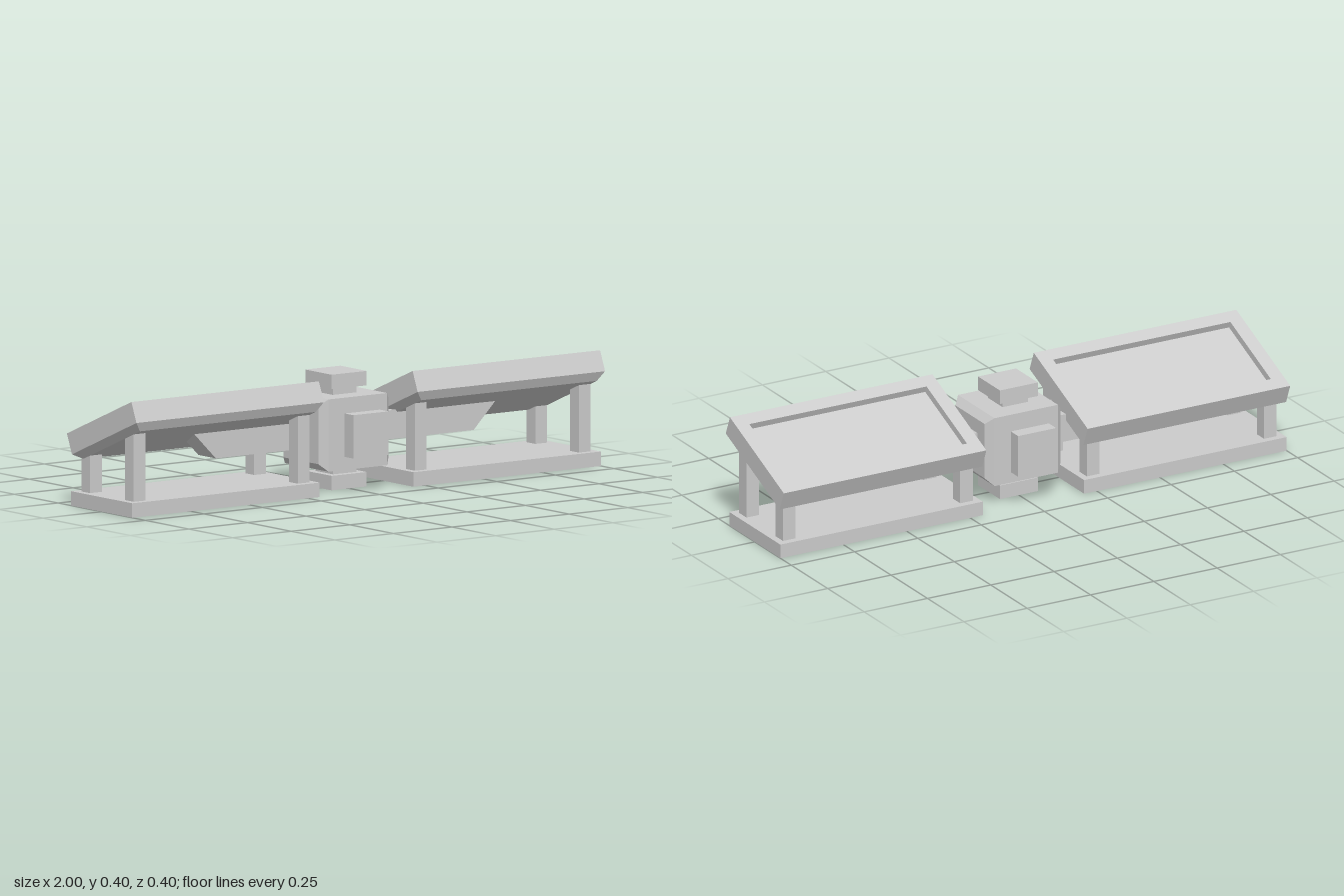
import * as THREE from 'three';

const material = new THREE.MeshStandardMaterial({ color: 0xcccccc, flatShading: true });

function add(parent, name, geometry) {
  const mesh = new THREE.Mesh(geometry, material);
  mesh.name = name;
  parent.add(mesh);
  return mesh;
}

// Box given by its centre x and z, its bottom and top, and its width and depth
function box(parent, name, x, z, y0, y1, w, d) {
  const mesh = add(parent, name, new THREE.BoxGeometry(w, y1 - y0, d));
  mesh.position.set(x, (y0 + y1) / 2, z);
  return mesh;
}

// Solid skinned over rectangles [halfX, halfZ, y], capped at both ends
function rectangleLoft(rings) {
  const corners = rings.map(([x, z, y]) => [[-x, y, z], [x, y, z], [x, y, -z], [-x, y, -z]]);
  const positions = [];
  const quad = (a, b, c, d) => positions.push(...a, ...b, ...c, ...a, ...c, ...d);
  const first = corners[0], last = corners[corners.length - 1];
  quad(first[3], first[2], first[1], first[0]);
  for (let r = 0; r < corners.length - 1; r++) {
    for (let i = 0; i < 4; i++) {
      const j = (i + 1) % 4;
      quad(corners[r][i], corners[r][j], corners[r + 1][j], corners[r + 1][i]);
    }
  }
  quad(...last);
  const geometry = new THREE.BufferGeometry();
  geometry.setAttribute('position', new THREE.Float32BufferAttribute(positions, 3));
  geometry.computeVertexNormals();
  return geometry;
}

export function createModel() {
  const model = new THREE.Group();
  model.name = 'solarStation';

  // Central hub, with its left and right ends chamfered
  const hub = new THREE.Group();
  hub.name = 'hub';
  model.add(hub);
  const body = add(hub, 'hubBody', rectangleLoft([
    [0.1, 0.1, -0.15], [0.125, 0.125, -0.125], [0.125, 0.125, 0.125], [0.1, 0.1, 0.15],
  ]));
  body.rotation.z = -Math.PI / 2;
  body.position.y = 0.2;

  // Ports on the top, bottom, front and back of the hub
  box(hub, 'topNeck', 0, 0, 0.32, 0.355, 0.1, 0.1);
  box(hub, 'topPort', 0, 0, 0.35, 0.4, 0.15, 0.15);
  box(hub, 'bottomNeck', 0, 0, 0.045, 0.08, 0.1, 0.1);
  box(hub, 'bottomPort', 0, 0, 0, 0.05, 0.15, 0.15);
  for (const s of [1, -1]) {
    const side = s > 0 ? 'front' : 'back';
    box(hub, side + 'Neck', 0, s * 0.1375, 0.15, 0.25, 0.1, 0.035);
    box(hub, side + 'Port', 0, s * 0.175, 0.125, 0.275, 0.15, 0.05);
  }

  for (const s of [1, -1]) {
    const wing = new THREE.Group();
    wing.name = s > 0 ? 'leftWing' : 'rightWing';
    model.add(wing);

    // Arm with a slanted tip, reaching from the hub to under the panel
    const profile = [[0.14, 0.15], [0.55, 0.15], [0.65, 0.25], [0.14, 0.25]];
    const shape = new THREE.Shape(profile.map(([x, y]) => new THREE.Vector2(s * x, y)));
    add(wing, 'arm', new THREE.ExtrudeGeometry(shape, { depth: 0.1, bevelEnabled: false }))
      .position.z = -0.05;

    // Base plate and four posts
    box(wing, 'basePlate', s * 0.6, 0, 0, 0.05, 0.8, 0.35);
    for (const x of [0.25, 0.95]) {
      box(wing, 'frontPost', s * x, 0.125, 0.045, 0.285, 0.05, 0.05);
      box(wing, 'backPost', s * x, -0.125, 0.045, 0.2, 0.05, 0.05);
    }

    // Tilted panel: chamfered underside, raised rim and sunken face
    const panel = add(wing, 'panel', rectangleLoft([
      [0.375, 0.175, -0.1], [0.4, 0.2, -0.075], [0.4, 0.2, 0],
      [0.35, 0.15, 0], [0.35, 0.15, -0.025],
    ]));
    panel.position.set(s * 0.6, 0.3235, -0.0145);
    panel.rotation.x = -Math.PI / 8;
  }

  return model;
}
